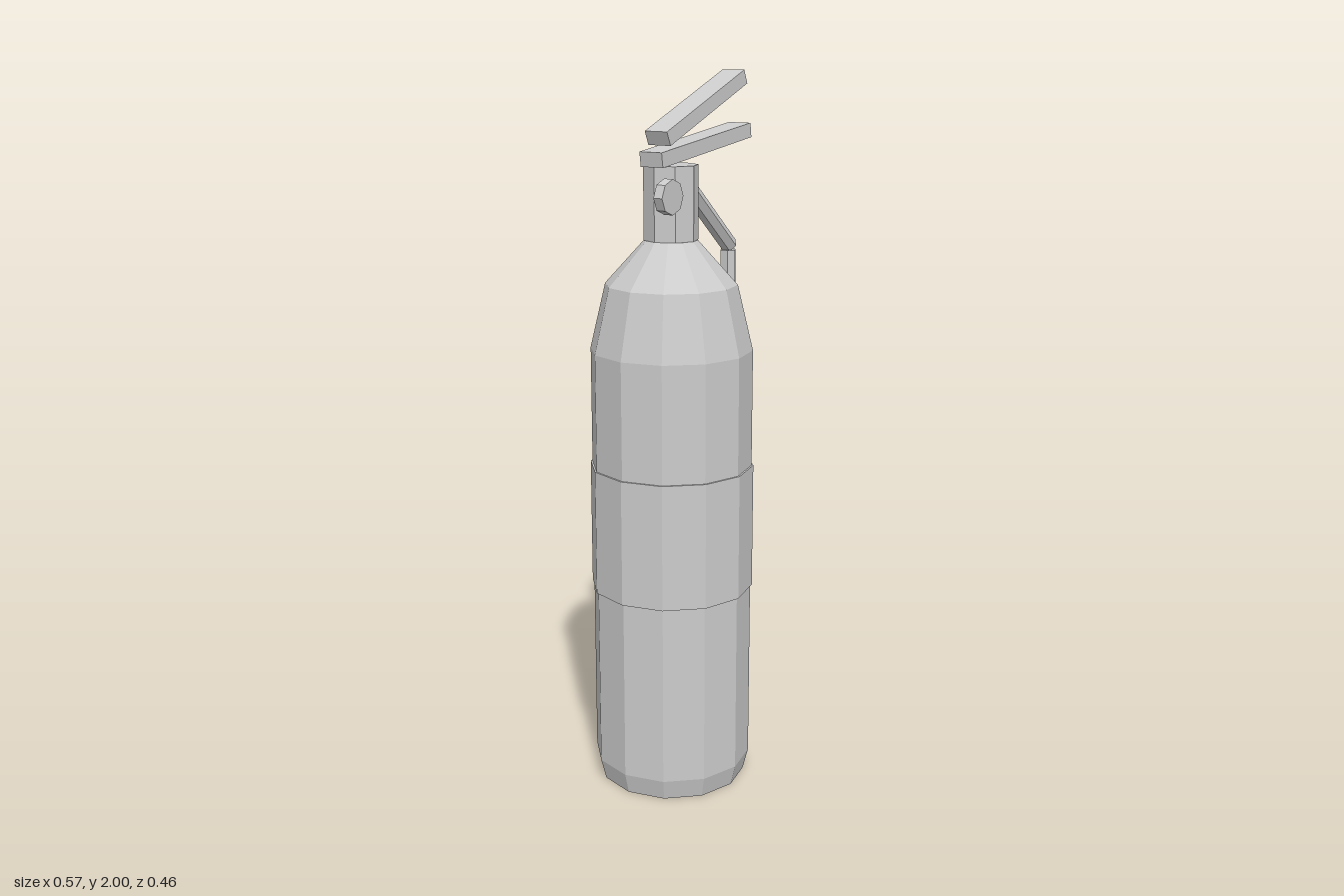
import * as THREE from 'three';

export function createModel() {
  const model = new THREE.Group();
  const grey = new THREE.MeshStandardMaterial({ color: 0xcccccc });
  grey.name = 'grey';
  grey.flatShading = true;
  const axisX = -0.057;

  const add = (name, geometry, x = 0, y = 0, z = 0) => {
    const mesh = new THREE.Mesh(geometry, grey);
    mesh.name = name;
    mesh.position.set(x, y, z);
    model.add(mesh);
    return mesh;
  };

  // Tank: twelve-sided profile with chamfered foot and sloping shoulder
  const profile = [[0, 0], [0.21, 0], [0.225, 0.06], [0.225, 1.26], [0.182, 1.44], [0.073, 1.56], [0, 1.56]];
  add('tank', new THREE.LatheGeometry(profile.map(([r, y]) => new THREE.Vector2(r, y)), 12), axisX);

  // Label band wrapped around the tank
  add('labelBand', new THREE.CylinderGeometry(0.23, 0.23, 0.355, 12), axisX, 0.755);

  // Valve neck and the pressure gauge beside it
  add('valveNeck', new THREE.CylinderGeometry(0.075, 0.075, 0.2, 8), axisX, 1.66);
  add('pressureGauge', new THREE.CylinderGeometry(0.047, 0.047, 0.028, 8).rotateX(Math.PI / 2), -0.148, 1.685, 0.059);

  // Carrying handle and squeeze lever
  const lever = (name, length, x, y, degrees) => {
    add(name, new THREE.BoxGeometry(length, 0.04, 0.073), x, y).rotation.z = THREE.MathUtils.degToRad(degrees);
  };
  lever('carryHandle', 0.421, 0.064, 1.807, 8);
  lever('squeezeLever', 0.39, 0.064, 1.907, 22.9);

  // Hose: two straight six-sided lengths
  const hose = (name, x0, y0, x1, y1) => {
    const length = Math.hypot(x1 - x0, y1 - y0);
    const mesh = add(name, new THREE.CylinderGeometry(0.024, 0.024, length, 6), (x0 + x1) / 2, (y0 + y1) / 2);
    mesh.rotation.z = Math.atan2(x0 - x1, y1 - y0);
  };
  hose('hoseUpper', 0.222, 1.515, 0.028, 1.688);
  hose('hoseLower', 0.228, 0.69, 0.217, 1.503);

  // Nozzle at the end of the hose
  add('nozzle', new THREE.CylinderGeometry(0.065, 0.046, 0.211, 6), 0.229, 0.6085);

  return model;
}
